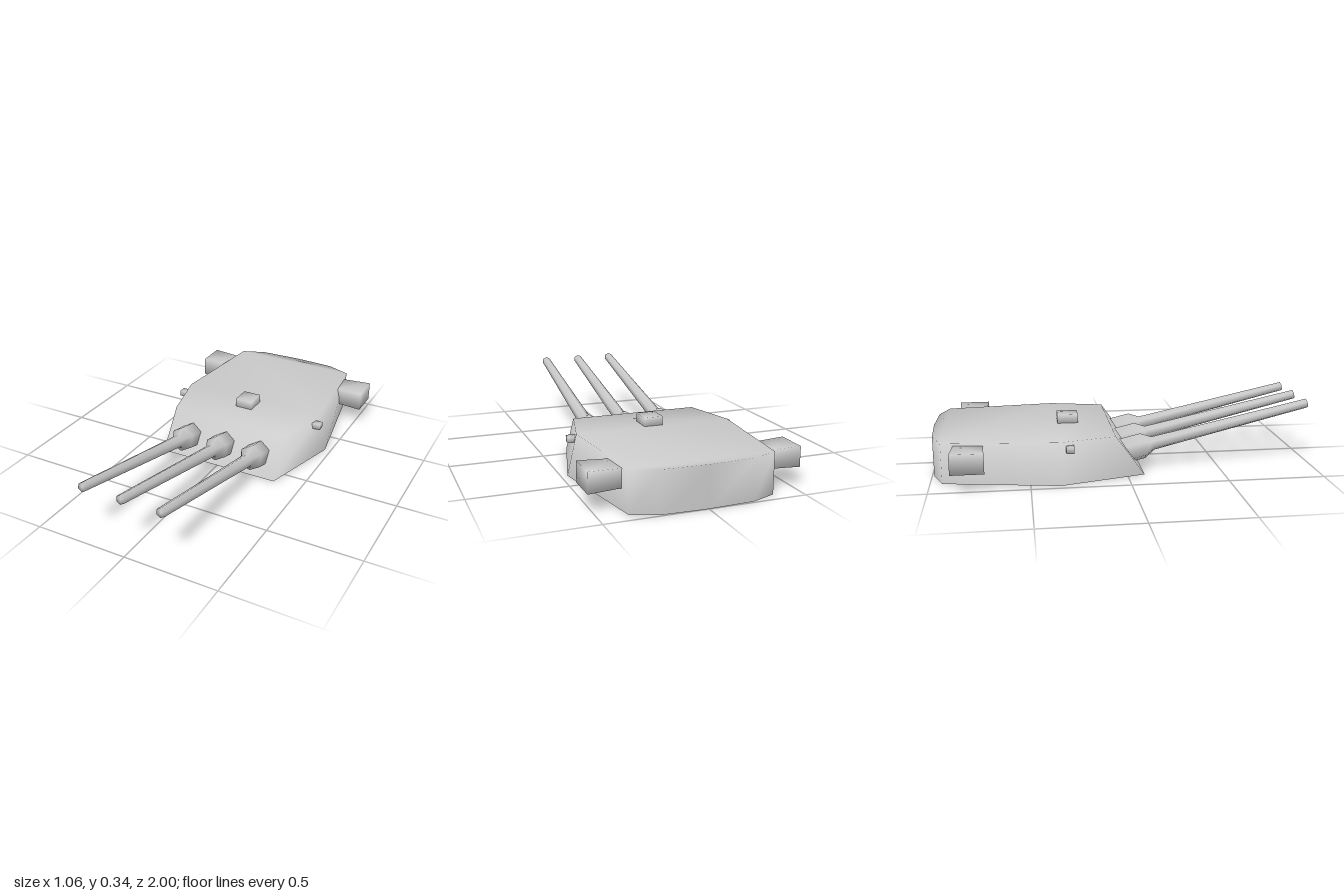
import * as THREE from 'three';
import { mergeVertices } from 'three/addons/utils/BufferGeometryUtils.js';

const material = new THREE.MeshStandardMaterial({ color: 0xcccccc, side: THREE.DoubleSide });

function add(parent, name, geometry, x = 0, y = 0, z = 0) {
  const mesh = new THREE.Mesh(geometry, material);
  mesh.name = name;
  mesh.position.set(x, y, z);
  parent.add(mesh);
  return mesh;
}

// Box with shared corners, so its shading is smooth
function softBox(w, h, d) {
  let g = new THREE.BoxGeometry(w, h, d);
  g.deleteAttribute('normal');
  g.deleteAttribute('uv');
  g = mergeVertices(g);
  g.computeVertexNormals();
  return g;
}

// Armoured shell: base and roof outlines joined by walls, open underneath
function hullGeometry() {
  const rear = [[0.36, -0.94], [0.23, -0.99], [0, -1]];
  const base = [[0.345, 0.09], [0.467, -0.35], ...rear];
  const roof = [[0.345, -0.06], [0.417, -0.35], ...rear];
  const ring = (half, y) => {
    const mirrored = half.slice(0, -1).reverse().map(([x, z]) => [-x, z]);
    return [...half, ...mirrored].flatMap(([x, z]) => [x, y, z]);
  };
  const n = base.length * 2 - 1;
  const index = [];
  for (let i = 0; i < n; i++) {
    const j = (i + 1) % n;
    index.push(i, j, n + j, i, n + j, n + i);
  }
  // roof strips from the front edge to the rear point
  for (let i = 0; i < base.length - 2; i++) {
    const a = n + i, b = a + 1, c = 2 * n - 2 - i, d = c + 1;
    index.push(a, b, c, a, c, d);
  }
  const tip = n + base.length - 1;
  index.push(tip - 1, tip, tip + 1);
  const g = new THREE.BufferGeometry();
  g.setAttribute('position', new THREE.Float32BufferAttribute([...ring(base, 0), ...ring(roof, 0.21)], 3));
  g.setIndex(index);
  g.computeVertexNormals();
  return g;
}

// Six-sided barrel with a thick collar at the breech, along +z
function gunGeometry() {
  const profile = [[0, -0.125], [0.07, -0.125], [0.07, 0], [0.037, 0.055], [0.034, 0.25], [0.025, 0.915], [0, 0.915]];
  const g = new THREE.LatheGeometry(profile.map(([r, s]) => new THREE.Vector2(r, s)), 6);
  g.rotateX(Math.PI / 2);
  return g;
}

// Rangefinder arm, slightly flared towards its outer end
function rangefinderGeometry(side) {
  const g = softBox(0.17, 0.1, 0.16);
  const p = g.attributes.position;
  for (let i = 0; i < p.count; i++) {
    const flare = p.getX(i) * side > 0 ? 1.04 : 0.92;
    p.setY(i, p.getY(i) * flare);
    p.setZ(i, p.getZ(i) * flare);
  }
  g.computeVertexNormals();
  return g;
}

export function createModel() {
  const turret = new THREE.Group();
  turret.name = 'gunTurret';
  add(turret, 'hull', hullGeometry());

  const gun = gunGeometry();
  ['rightGun', 'centreGun', 'leftGun'].forEach((name, i) => {
    add(turret, name, gun, (i - 1) * 0.213, 0.115, 0.1).rotation.x = -0.226;
  });

  add(turret, 'roofHatch', softBox(0.1, 0.06, 0.11), 0, 0.226, -0.285);

  for (const [side, label] of [[1, 'left'], [-1, 'right']]) {
    add(turret, label + 'Rangefinder', rangefinderGeometry(side), side * 0.446, 0.151, -0.805);
    add(turret, label + 'SightBox', softBox(0.046, 0.032, 0.04), side * 0.428, 0.175, -0.3);
  }
  return turret;
}
